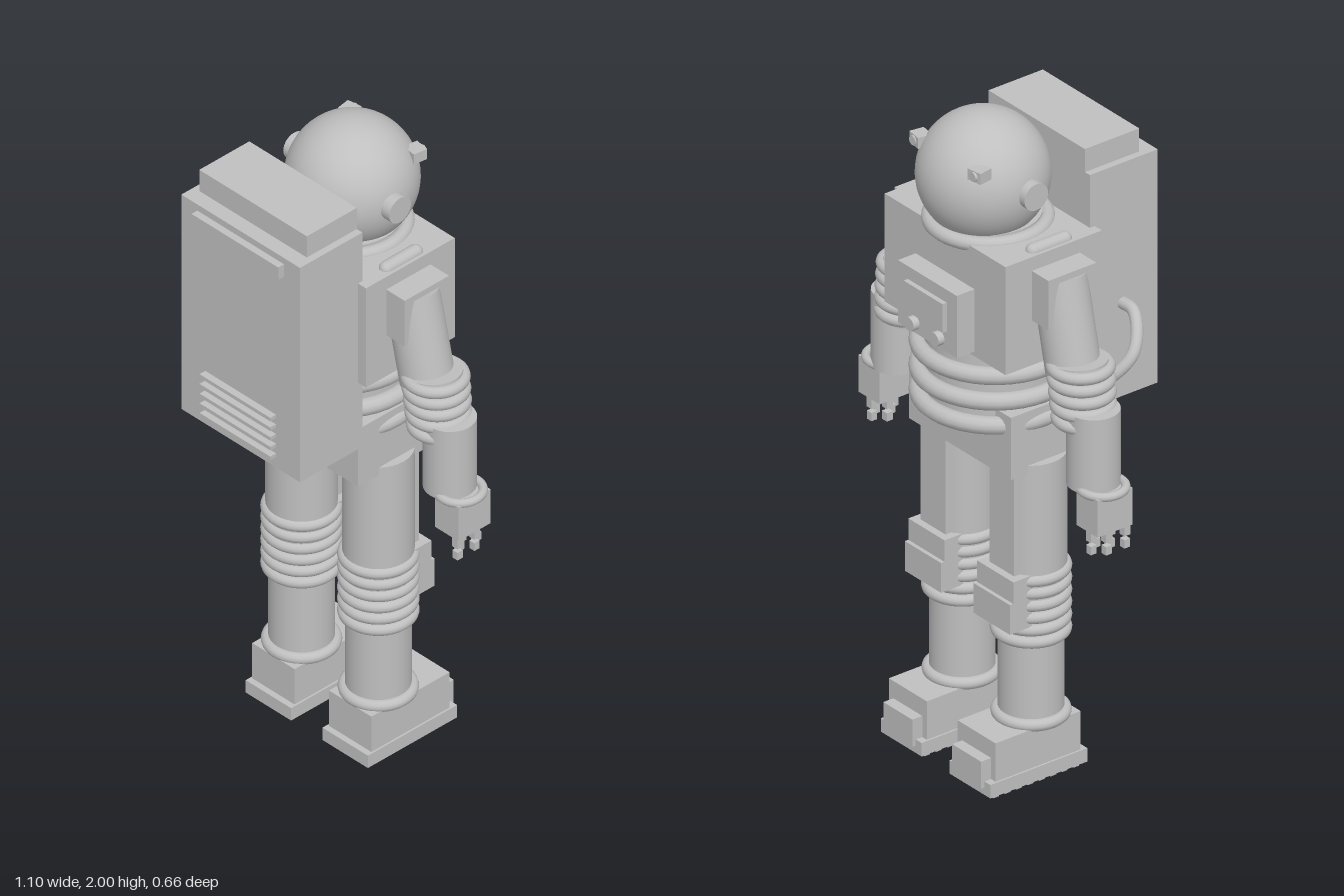
import * as THREE from 'three';

const suit = new THREE.MeshStandardMaterial({ color: 0xbfbfbf });
suit.name = 'suitGrey';

export function createModel() {
  const root = new THREE.Group();
  root.name = 'spacesuitFigure';

  function add(parent, name, geo, x = 0, y = 0, z = 0) {
    const m = new THREE.Mesh(geo, suit);
    m.name = name;
    m.position.set(x, y, z);
    parent.add(m);
    return m;
  }
  // Box given by its limits on each axis
  const box = (p, name, x0, x1, y0, y1, z0, z1) =>
    add(p, name, new THREE.BoxGeometry(x1 - x0, y1 - y0, z1 - z0), (x0 + x1) / 2, (y0 + y1) / 2, (z0 + z1) / 2);
  const cyl = (p, name, r, x, y0, y1, z) =>
    add(p, name, new THREE.CylinderGeometry(r, r, y1 - y0, 32), x, (y0 + y1) / 2, z);
  const ring = (p, name, R, t, x, y, z) => {
    const m = add(p, name, new THREE.TorusGeometry(R, t, 12, 40), x, y, z);
    m.rotation.x = Math.PI / 2;
    return m;
  };
  const group = (name) => {
    const g = new THREE.Group();
    g.name = name;
    root.add(g);
    return g;
  };

  // Helmet and neck
  const head = group('helmet');
  add(head, 'helmetSphere', new THREE.SphereGeometry(0.188, 48, 32), 0, 1.812, -0.117);
  cyl(head, 'neck', 0.15, 0, 1.64, 1.69, -0.1);
  ring(head, 'neckRing', 0.163, 0.022, 0, 1.668, -0.1);
  for (const s of [1, -1]) {
    const pod = cyl(head, 'earPod', 0.041, s * 0.19, 1.795, 1.835, -0.097);
    pod.rotation.z = Math.PI / 2;
    const lamp = add(head, 'helmetLamp', new THREE.BoxGeometry(0.048, 0.034, 0.045), s * 0.13, 1.9, -0.232);
    lamp.rotation.y = s * -0.15;
    const lens = cyl(head, 'lampLens', 0.014, s * 0.133, 1.895, 1.905, -0.255);
    lens.rotation.x = Math.PI / 2;
  }

  // Torso with shoulder rolls
  const torso = group('torso');
  box(torso, 'chest', -0.267, 0.267, 1.335, 1.673, -0.25, 0.087);
  for (const s of [1, -1]) {
    const roll = add(torso, 'shoulderRoll', new THREE.CapsuleGeometry(0.021, 0.11, 6, 16), s * 0.236, 1.672, -0.075);
    roll.rotation.x = Math.PI / 2;
  }

  // Chest control unit
  box(torso, 'controlBox', -0.13, 0.13, 1.35, 1.545, -0.312, -0.24);
  box(torso, 'controlScreen', -0.086, 0.086, 1.415, 1.505, -0.327, -0.31);
  for (const s of [1, -1]) {
    const knob = cyl(torso, 'controlKnob', 0.021, s * 0.055, 1.37, 1.396, -0.32);
    knob.rotation.x = Math.PI / 2;
  }

  // Bellows waist and hips
  const waist = group('waist');
  cyl(waist, 'waistCore', 0.2, 0, 1.1, 1.34, -0.075);
  for (const y of [1.275, 1.195, 1.12]) ring(waist, 'waistRing', 0.212, 0.026, 0, y, -0.075);
  box(waist, 'hips', -0.225, 0.225, 0.97, 1.165, -0.198, 0.077);
  box(waist, 'packSupport', -0.2, 0.2, 1.088, 1.115, 0.05, 0.185);

  // Backpack
  const pack = group('backpack');
  box(pack, 'packBody', -0.235, 0.235, 1.108, 1.838, 0.07, 0.307);
  box(pack, 'packTop', -0.213, 0.213, 1.83, 1.91, 0.07, 0.26);
  box(pack, 'packBar', -0.172, 0.172, 1.775, 1.817, 0.3, 0.329);
  for (let i = 0; i < 5; i++) {
    const y = 1.15 + i * 0.033;
    box(pack, 'ventSlat', -0.14, 0.14, y - 0.006, y + 0.006, 0.3, 0.329);
  }

  // Air hoses on the right side
  const hoses = [
    [[-0.22, 1.4, 0.185], [-0.29, 1.395, 0.182], [-0.355, 1.31, 0.125], [-0.3, 1.22, 0.05], [-0.2, 1.19, 0.03]],
    [[-0.21, 1.23, 0.105], [-0.28, 1.245, 0.095], [-0.34, 1.29, 0.05], [-0.355, 1.34, -0.02]],
  ];
  for (const pts of hoses) {
    const path = new THREE.CatmullRomCurve3(pts.map((p) => new THREE.Vector3(...p)));
    add(pack, 'airHose', new THREE.TubeGeometry(path, 40, 0.018, 12));
  }

  for (const s of [1, -1]) {
    const side = s > 0 ? 'left' : 'right';
    const Z = -0.073;

    // Arm
    const arm = group(side + 'Arm');
    box(arm, 'shoulderBlock', Math.min(s * 0.25, s * 0.34), Math.max(s * 0.25, s * 0.34), 1.475, 1.63, -0.158, 0.01);
    const upper = add(arm, 'upperArm', new THREE.CylinderGeometry(0.078, 0.078, 0.28, 32), s * 0.312, 1.46, Z);
    upper.rotation.z = s * 0.23;
    const elbow = add(arm, 'elbowCore', new THREE.CylinderGeometry(0.078, 0.078, 0.19, 32), s * 0.382, 1.275, Z);
    elbow.rotation.z = s * 0.1;
    for (let i = 0; i < 5; i++)
      ring(arm, 'elbowRing', 0.079 - i * 0.001, 0.018, s * (0.375 + i * 0.004), 1.352 - i * 0.038, Z);
    cyl(arm, 'forearm', 0.075, s * 0.432, 1.012, 1.245, Z);
    ring(arm, 'wristRing', 0.064, 0.013, s * 0.472, 1.016, Z);

    // Hand with jointed fingers
    const hand = group(side + 'Hand');
    box(hand, 'palm', s * 0.482 - 0.047, s * 0.482 + 0.047, 0.9, 1.015, -0.135, -0.013);
    for (let i = 0; i < 4; i++) {
      const x = s * (i % 2 ? 0.485 : 0.512), z = -0.026 - i * 0.032;
      box(hand, 'fingerBase', x - 0.011, x + 0.011, 0.868, 0.905, z - 0.011, z + 0.011);
      box(hand, 'fingerTip', x - 0.01, x + 0.01, 0.829, 0.855, z - 0.01, z + 0.01);
    }
    box(hand, 'thumbBase', s * 0.458 - 0.011, s * 0.458 + 0.011, 0.868, 0.905, -0.1, -0.078);
    box(hand, 'thumbTip', s * 0.458 - 0.011, s * 0.458 + 0.011, 0.829, 0.855, -0.1, -0.078);

    // Leg
    const leg = group(side + 'Leg');
    const X = s * 0.152;
    cyl(leg, 'thigh', 0.1, X, 0.55, 0.995, -0.07);
    cyl(leg, 'shin', 0.092, X, 0.16, 0.56, -0.07);
    box(leg, 'thighPanel', X - 0.055, X + 0.055, 0.62, 0.96, -0.172, -0.13);
    for (let i = 0; i < 6; i++) ring(leg, 'kneeRing', 0.096, 0.0175, X, 0.44 + i * 0.0385, -0.07);
    box(leg, 'kneePadUpper', X - 0.08, X + 0.08, 0.58, 0.652, -0.195, -0.13);
    box(leg, 'kneePadLower', X - 0.08, X + 0.08, 0.492, 0.585, -0.207, -0.13);
    ring(leg, 'ankleRing', 0.094, 0.018, X, 0.18, -0.07);

    // Boot with treads
    const boot = group(side + 'Boot');
    box(boot, 'bootUpper', X - 0.084, X + 0.084, 0.045, 0.172, -0.26, 0.037);
    box(boot, 'toeCap', X - 0.064, X + 0.064, 0.033, 0.118, -0.295, -0.25);
    box(boot, 'sole', X - 0.09, X + 0.09, 0.01, 0.052, -0.283, 0.056);
    for (let i = 0; i < 8; i++) {
      const z = -0.255 + i * 0.04;
      box(boot, 'tread', X - 0.08, X + 0.08, 0, 0.012, z - 0.01, z + 0.01);
    }
  }
  return root;
}
